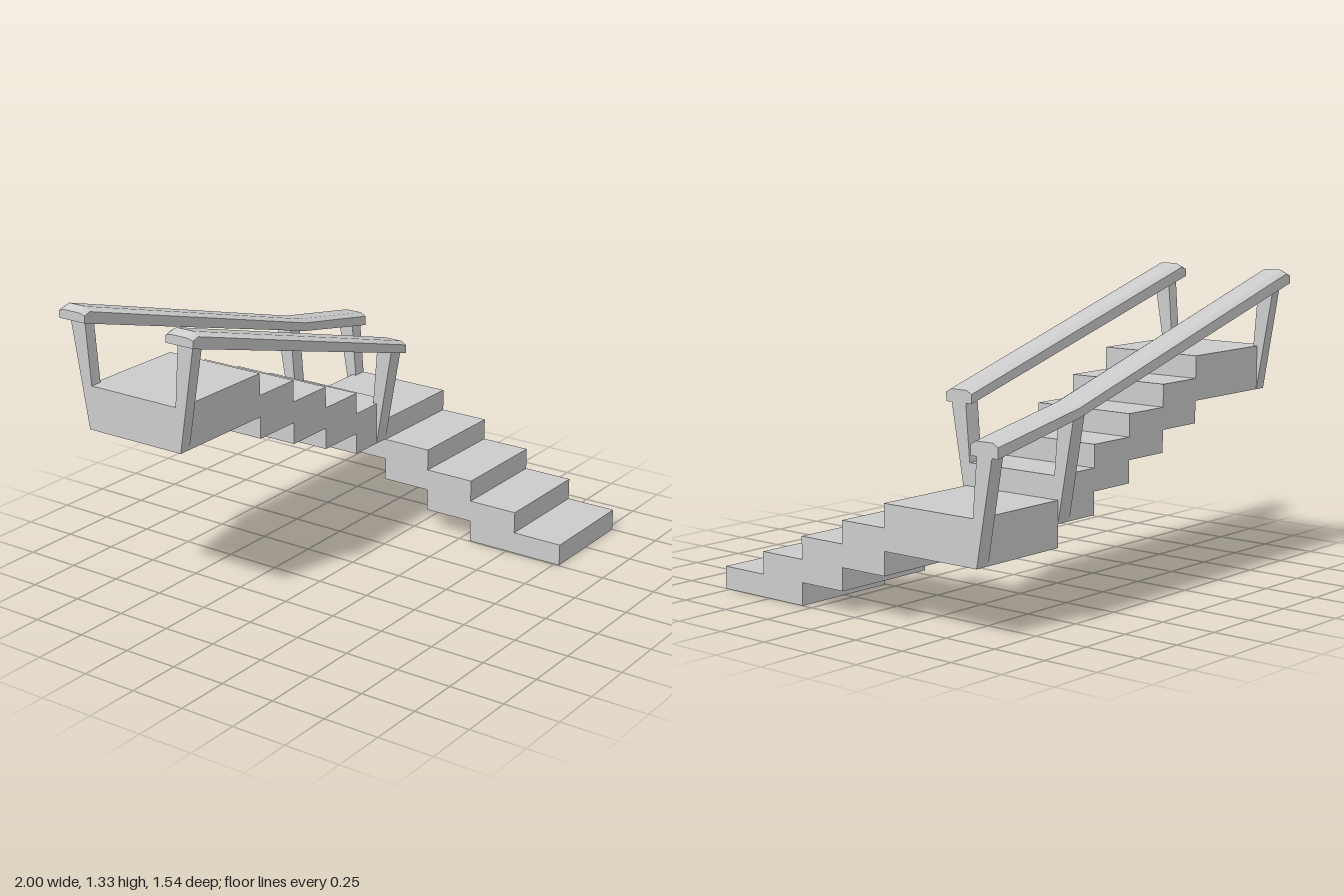
import * as THREE from 'three';
import { toCreasedNormals } from 'three/addons/utils/BufferGeometryUtils.js';

const MID_Z = -0.415;   // centre line of the upper flight
const HALF_W = 0.245;

// rail stations: x, underside, shoulder and crown heights
const STATIONS = [
  [-1, 1.27, 1.302, 1.31],
  [-0.965, 1.26, 1.312, 1.33],
  [0.505, 0.84, 0.88, 0.895],
  [1, 0.74, 0.785, 0.8],
];

// height of the rail underside at x
function railUnderside(x) {
  let i = 0;
  while (i < STATIONS.length - 2 && x > STATIONS[i + 1][0]) i++;
  const [a, b] = [STATIONS[i], STATIONS[i + 1]];
  return THREE.MathUtils.mapLinear(x, a[0], b[0], a[1], b[1]);
}

// sawtooth slab; edges are the riser positions, blocks are [bottom, top]
function stairGeometry(edges, blocks, depth) {
  const pts = [];
  blocks.forEach(([, top], i) => pts.push([edges[i], top], [edges[i + 1], top]));
  for (let i = blocks.length - 1; i >= 0; i--) {
    pts.push([edges[i + 1], blocks[i][0]], [edges[i], blocks[i][0]]);
  }
  const unique = pts.filter((p, i) => {
    const q = pts[(i + 1) % pts.length];
    return p[0] !== q[0] || p[1] !== q[1];
  });
  const shape = new THREE.Shape(unique.map(([x, y]) => new THREE.Vector2(x, y)));
  return new THREE.ExtrudeGeometry(shape, { depth, bevelEnabled: false });
}

// leaning post that widens upwards; side is +1 (front) or -1 (back)
function postGeometry(x0, x1, yBottom, side) {
  const g = new THREE.BoxGeometry(1, 1, 1);
  const p = g.attributes.position;
  for (let i = 0; i < p.count; i++) {
    const x = p.getX(i) > 0 ? x1 : x0;
    const up = p.getY(i) > 0;
    const outer = p.getZ(i) * side > 0;
    const d = up ? (outer ? 0.325 : 0.247) : (outer ? HALF_W : 0.21);
    p.setXYZ(i, x, up ? railUnderside(x) + 0.006 : yBottom, MID_Z + side * d);
  }
  const flat = g.toNonIndexed();
  flat.computeVertexNormals();
  return flat;
}

// handrail lofted through six-sided cross-sections
function railGeometry(stations, zCentre) {
  const pos = [], index = [], n = 6;
  for (const [x, low, shoulder, crown] of stations) {
    const section = [[0.07, low], [0.07, shoulder], [0.043, crown],
      [-0.043, crown], [-0.07, shoulder], [-0.07, low]];
    for (const [z, y] of section) pos.push(x, y, zCentre + z);
  }
  for (let s = 0; s < stations.length - 1; s++) {
    for (let k = 0; k < n; k++) {
      const a = s * n + k, b = s * n + (k + 1) % n;
      index.push(a, a + n, b, b, a + n, b + n);
    }
  }
  const last = (stations.length - 1) * n;
  for (let k = 1; k < n - 1; k++) {
    index.push(0, k, k + 1);
    index.push(last, last + k + 1, last + k);
  }
  const g = new THREE.BufferGeometry();
  g.setAttribute('position', new THREE.Float32BufferAttribute(pos, 3));
  g.setIndex(index);
  return toCreasedNormals(g, THREE.MathUtils.degToRad(42));
}

export function createModel() {
  const group = new THREE.Group();
  const material = new THREE.MeshStandardMaterial({ color: 0xcccccc });
  const add = (name, geometry) => {
    const mesh = new THREE.Mesh(geometry, material);
    mesh.name = name;
    group.add(mesh);
    return mesh;
  };

  // upper flight: top platform, four steps and the corner landing
  const upperBlocks = [];
  for (let i = 0; i < 6; i++) upperBlocks.push([0.792 - i * 0.0985, 0.988 - i * 0.0985]);
  const upper = stairGeometry([-0.965, -0.438, -0.202, 0.034, 0.27, 0.505, 1], upperBlocks, HALF_W * 2);
  upper.translate(0, 0, MID_Z - HALF_W);
  add('upperFlightAndLanding', upper);

  // lower flight: runs forward from the landing down to the ground
  const lowerBlocks = [];
  for (let i = 3; i >= 0; i--) lowerBlocks.push([Math.max(0, (i - 1) * 0.0988), (i + 1) * 0.0988]);
  const lower = stairGeometry([-0.17, 0.067, 0.303, 0.538, 0.775], lowerBlocks, 0.495);
  lower.rotateY(-Math.PI / 2).translate(1, 0, 0);
  add('lowerFlight', lower);

  // posts and handrails on both sides of the upper flight
  for (const [label, side] of [['front', 1], ['back', -1]]) {
    add(label + 'TopPost', postGeometry(-0.965, -0.91, 0.792, side));
    add(label + 'MiddlePost', postGeometry(0.432, 0.505, 0.398, side));
    const stations = side > 0 ? STATIONS.slice(0, 3) : STATIONS;
    add(label + 'Handrail', railGeometry(stations, MID_Z + side * 0.285));
  }
  add('backCornerPost', postGeometry(0.932, 1, 0.3, -1));

  return group;
}
